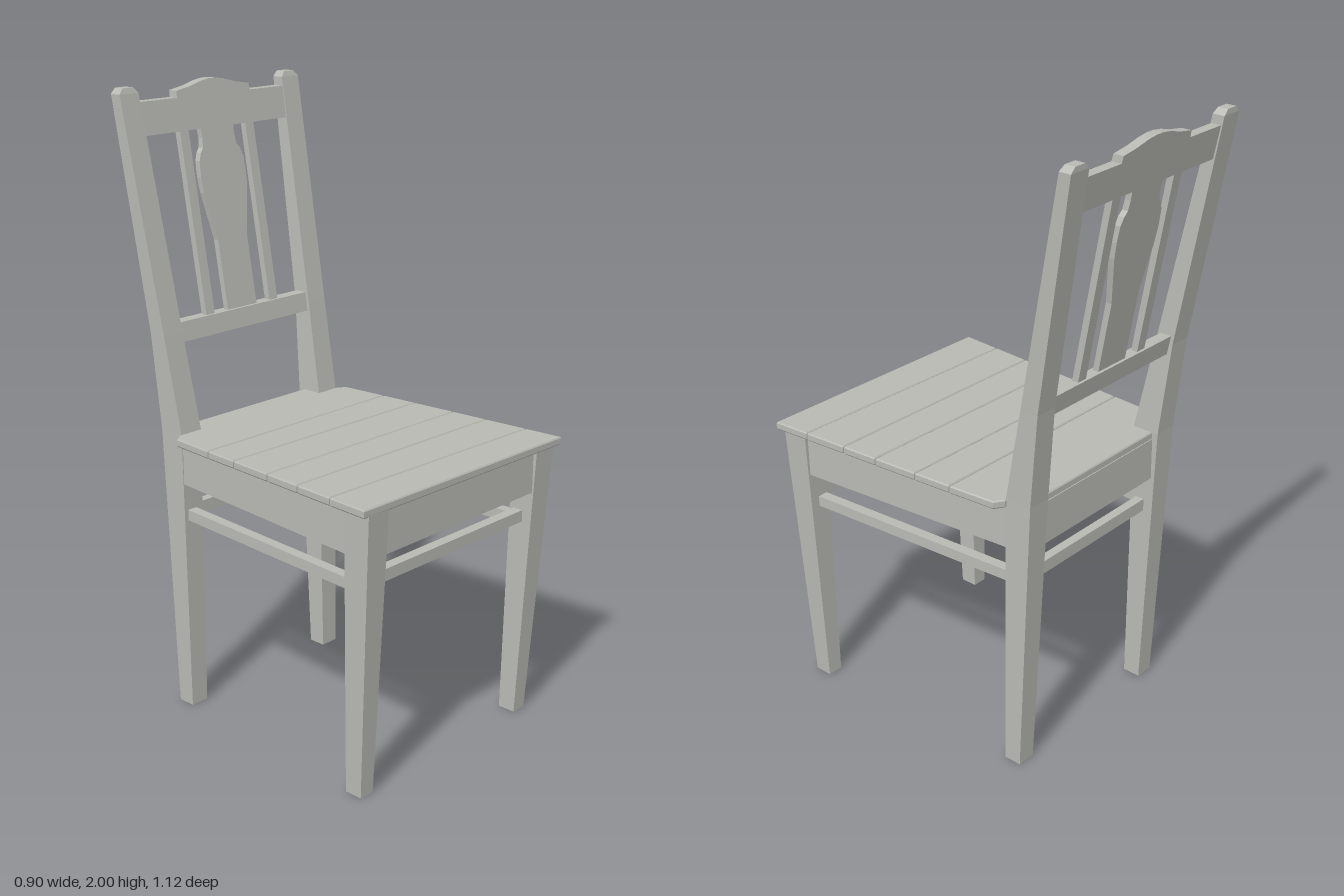
import * as THREE from 'three';

const grey = new THREE.MeshStandardMaterial({ color: 0xb9b9b4 });
grey.name = 'greyPaint';
const brown = new THREE.MeshStandardMaterial({ color: 0x7a5a3a });
brown.name = 'bareWood';

const lerp = THREE.MathUtils.lerp;

// Flat-faced six-sided block; warp(u, v, w) maps the unit cube to space.
// bare lists the bare wood faces: 0 +x, 1 -x, 2 +y, 3 -y, 4 +z, 5 -z
function block(name, warp, bare = [], rows = 1) {
  const box = new THREE.BoxGeometry(1, 1, 1, 1, rows, 1);
  const p = box.attributes.position;
  for (let i = 0; i < p.count; i++) {
    p.setXYZ(i, ...warp(p.getX(i) + 0.5, p.getY(i) + 0.5, p.getZ(i) + 0.5));
  }
  const geo = box.toNonIndexed();
  geo.computeVertexNormals();
  const mats = [0, 1, 2, 3, 4, 5].map((f) => (bare.includes(f) ? brown : grey));
  const mesh = new THREE.Mesh(geo, mats);
  mesh.name = name;
  return mesh;
}

const bar = (name, x0, x1, y0, y1, z0, z1, bare) =>
  block(name, (u, v, w) => [lerp(x0, x1, u), lerp(y0, y1, v), lerp(z0, z1, w)], bare);

// Upright through rectangular rings [y, inner x, outer x, back z, front z]
function upright(name, side, rings) {
  const n = rings.length - 1;
  return block(name, (u, v, w) => {
    const [y, xi, xo, zb, zf] = rings[Math.round(v * n)];
    return [side * lerp(xi, xo, side > 0 ? u : 1 - u), y, lerp(zb, zf, w)];
  }, [3], n);
}

// Side piece following the taper of the seat
function sidePiece(name, side, y0, y1, z0, z1, backX, frontX, thick, bare) {
  return block(name, (u, v, w) => {
    const outer = lerp(backX, frontX, w);
    const t = side > 0 ? u : 1 - u;
    return [side * (outer - thick * (1 - t)), lerp(y0, y1, v), lerp(z0, z1, w)];
  }, bare);
}

// Backrest panel: outline in x and y, then leaned back
const leanZ = (y) => -0.408 - 0.179 * (y - 1.25);
function backPanel(name, points, thick) {
  const shape = new THREE.Shape(points.map(([x, y]) => new THREE.Vector2(x, y)));
  const geo = new THREE.ExtrudeGeometry(shape, { depth: thick, bevelEnabled: false });
  const p = geo.attributes.position;
  for (let i = 0; i < p.count; i++) p.setZ(i, p.getZ(i) - thick / 2 + leanZ(p.getY(i)));
  geo.computeVertexNormals();
  const mesh = new THREE.Mesh(geo, grey);
  mesh.name = name;
  return mesh;
}

const mirrored = (half) => [...half, ...half.map(([x, y]) => [-x, y]).reverse()];

// Seat board: outline in x and z, laid flat with eased edges
function seatBoard(points) {
  const shape = new THREE.Shape(points.map(([x, z]) => new THREE.Vector2(x, -z)));
  const geo = new THREE.ExtrudeGeometry(shape, {
    depth: 0.018, bevelThickness: 0.004, bevelSize: 0.003, bevelOffset: -0.003, bevelSegments: 1,
  });
  geo.rotateX(-Math.PI / 2);
  geo.translate(0, 0.918, 0);
  const mesh = new THREE.Mesh(geo, grey);
  mesh.name = 'seatBoard';
  return mesh;
}

export function createModel() {
  const chair = new THREE.Group();
  chair.name = 'chair';

  // Legs, side aprons and side stretchers
  for (const s of [1, -1]) {
    const inner = s > 0 ? [1] : [0];
    chair.add(
      upright('frontLeg', s, [
        [0, 0.345, 0.398, 0.43, 0.49],
        [0.916, 0.345, 0.43, 0.45, 0.543],
      ]),
      upright('backLeg', s, [
        [0, 0.28, 0.344, -0.37, -0.31],
        [0.94, 0.27, 0.352, -0.41, -0.318],
        [1.25, 0.283, 0.36, -0.44, -0.378],
        [1.98, 0.308, 0.383, -0.56, -0.52],
        [1.997, 0.324, 0.366, -0.56, -0.526],
      ]),
      sidePiece('sideApron', s, 0.775, 0.916, -0.33, 0.47, 0.347, 0.42, 0.03, inner),
      sidePiece('sideStretcher', s, 0.65, 0.685, -0.32, 0.46, 0.335, 0.39, 0.035),
    );
  }

  // Front and back aprons and stretchers
  chair.add(
    bar('frontApron', -0.36, 0.36, 0.775, 0.916, 0.5, 0.53, [5]),
    bar('backApron', -0.3, 0.3, 0.775, 0.916, -0.39, -0.36, [4]),
    bar('frontStretcher', -0.36, 0.36, 0.67, 0.708, 0.46, 0.495),
    bar('backStretcher', -0.3, 0.3, 0.648, 0.69, -0.365, -0.335),
  );

  // Bare underside of the seat
  chair.add(block('seatUnderside', (u, v, w) => [
    lerp(-1, 1, u) * lerp(0.32, 0.4, w), lerp(0.908, 0.915, v), lerp(-0.365, 0.505, w),
  ], [0, 1, 2, 3, 4, 5]));

  // Seat boards, divided by seams [z at -x, z at +x]
  const seams = [[-0.143, -0.14], [-0.022, -0.008], [0.133, 0.147], [0.264, 0.275], [0.402, 0.427], [0.545, 0.559]];
  const halfWidth = (z) => 0.39 + (z + 0.3) * 0.07;
  const gap = 0.002;
  const edge = ([zl, zr], d) => [[-halfWidth(zl), zl + d], [halfWidth(zr), zr + d]];
  for (let i = 1; i < seams.length; i++) {
    chair.add(seatBoard([...edge(seams[i], -gap), ...edge(seams[i - 1], gap).reverse()]));
  }
  chair.add(seatBoard([
    ...edge(seams[0], -gap),
    ...mirrored([[0.388, -0.3], [0.358, -0.32], [0.272, -0.32], [0.272, -0.388]]),
  ]));

  // Backrest rails
  chair.add(
    backPanel('lowerBackRail', mirrored([[0.295, 1.215], [0.295, 1.277]]), 0.04),
    backPanel('crestRail', mirrored([
      [0.312, 1.85], [0.315, 1.952], [0.157, 1.952], [0.155, 1.973], [0.1, 1.982], [0.05, 1.995], [0.015, 2],
    ]), 0.034),
  );

  // Shaped centre splat and two slats
  chair.add(backPanel('backSplat', mirrored([
    [0.064, 1.27], [0.064, 1.5], [0.078, 1.57], [0.094, 1.65], [0.098, 1.7],
    [0.095, 1.75], [0.085, 1.775], [0.073, 1.79], [0.069, 1.82], [0.07, 1.855],
  ]), 0.02));
  for (const s of [1, -1]) {
    const xs = s > 0 ? [0.123, 0.159] : [-0.159, -0.123];
    chair.add(backPanel('backSlat', [[xs[0], 1.27], [xs[1], 1.27], [xs[1], 1.855], [xs[0], 1.855]], 0.022));
  }

  return chair;
}
